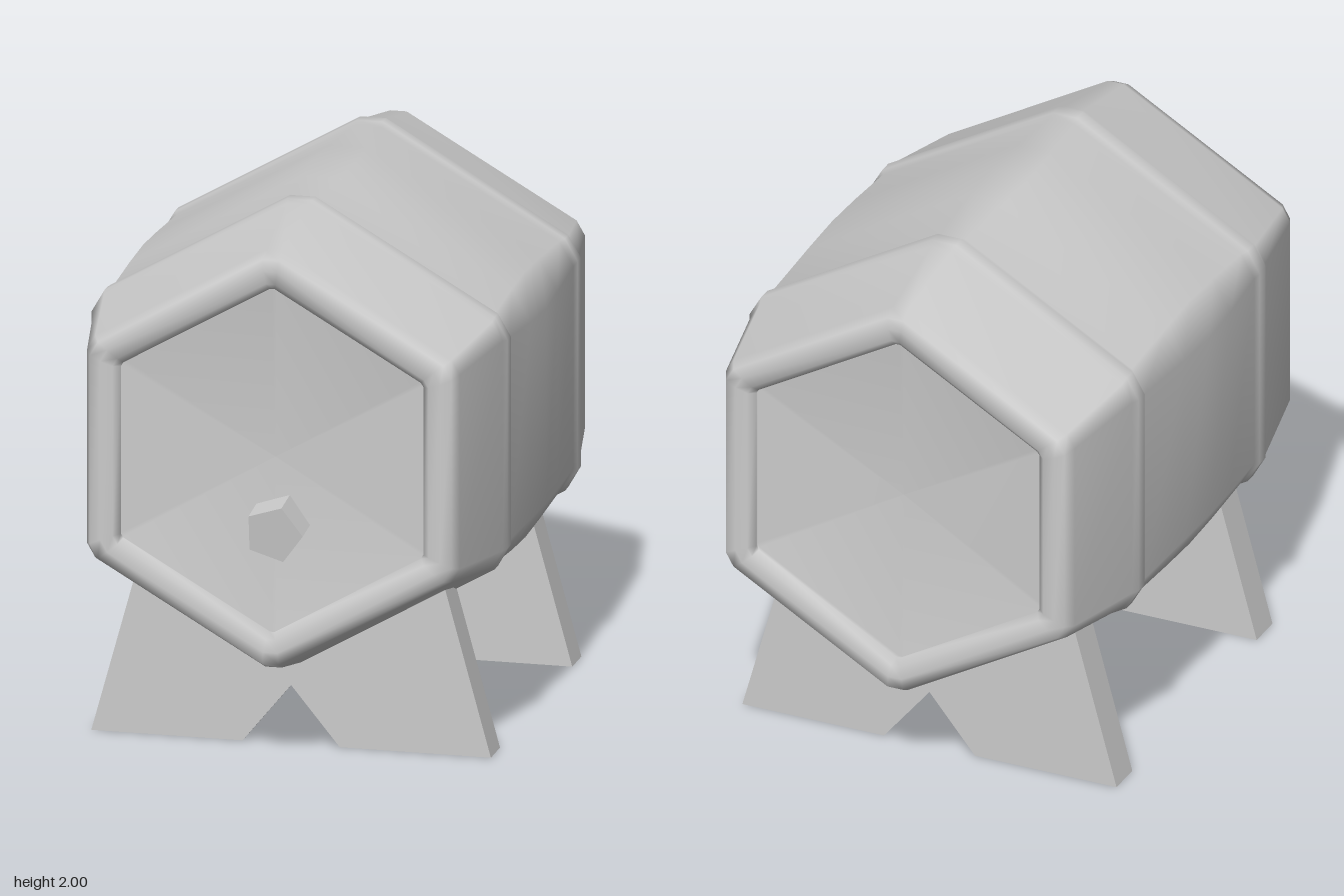
import * as THREE from 'three';

const AXIS_Y = 1.14; // height of the barrel's long axis

// One ring: a hexagon with a flat facing +x and its corners cut back by t.
function hexRing(z, apothem, t) {
  const half = apothem / Math.sqrt(3) - t;
  const points = [];
  for (let i = 0; i < 6; i++) {
    const c = Math.cos((i * Math.PI) / 3), s = Math.sin((i * Math.PI) / 3);
    for (const w of [-half, half]) points.push(apothem * c - w * s, apothem * s + w * c, z);
  }
  return points;
}

// Skin a list of rings running from front to back.
function skin(rings) {
  const n = 12, index = [];
  for (let r = 0; r < rings.length - 1; r++) {
    for (let j = 0; j < n; j++) {
      const k = (j + 1) % n;
      const a = r * n + j, b = a + n, d = r * n + k, c = d + n;
      if (r < rings.length - 2) index.push(a, b, c);
      if (r > 0) index.push(a, c, d);
    }
  }
  const geometry = new THREE.BufferGeometry();
  const positions = rings.flatMap((ring) => hexRing(...ring));
  geometry.setAttribute('position', new THREE.Float32BufferAttribute(positions, 3));
  geometry.setIndex(index);
  geometry.computeVertexNormals();
  return geometry;
}

export function createModel() {
  const group = new THREE.Group();
  const smooth = new THREE.MeshStandardMaterial({ color: 0xcccccc });
  const flat = new THREE.MeshStandardMaterial({ color: 0xcccccc, flatShading: true });

  const add = (name, geometry, material) => {
    const mesh = new THREE.Mesh(geometry, material);
    mesh.name = name;
    group.add(mesh);
    return mesh;
  };

  // Barrel: dished lids, rounded rims, raised hoops and a bulging middle
  // (each ring: z, apothem, corner cut)
  const barrel = add('barrel', skin([
    [0.87, 0, 0],
    [0.89, 0.57, 0.01],
    [0.92, 0.56, 0.01],
    [0.945, 0.585, 0.02],
    [0.95, 0.63, 0.03],
    [0.945, 0.67, 0.035],
    [0.9, 0.69, 0.035],
    [0.54, 0.758, 0.045],
    [0.515, 0.77, 0.055],
    [0.465, 0.77, 0.055],
    [0.44, 0.76, 0.06],
    [0.2, 0.777, 0.08],
    [0, 0.785, 0.09],
    [-0.2, 0.777, 0.08],
    [-0.5, 0.76, 0.06],
    [-0.525, 0.77, 0.055],
    [-0.575, 0.77, 0.055],
    [-0.6, 0.755, 0.045],
    [-0.95, 0.69, 0.035],
    [-0.995, 0.67, 0.035],
    [-1, 0.63, 0.03],
    [-0.995, 0.585, 0.02],
    [-0.97, 0.56, 0.01],
    [-0.94, 0.57, 0.01],
    [-0.92, 0, 0],
  ]), smooth);
  barrel.position.y = AXIS_Y;

  // Stands: notched plates cradling the lower sides of the barrel
  const outline = new THREE.Shape([
    [-0.74, 0], [-0.18, 0], [0, 0.22], [0.18, 0], [0.74, 0], [0.57, 0.62], [0, 0.31], [-0.57, 0.62],
  ].map(([x, y]) => new THREE.Vector2(x, y)));
  const plate = new THREE.ExtrudeGeometry(outline, { depth: 0.135, bevelEnabled: false });
  add('frontStand', plate, flat).position.z = 0.505;
  add('backStand', plate, flat).position.z = -0.7;

  // Plug: five-sided peg tilted slightly downward, one corner toward +x
  const peg = new THREE.CylinderGeometry(0.11, 0.11, 0.16, 5);
  peg.rotateY(Math.PI / 2).rotateX(Math.PI / 2).rotateX(0.12);
  add('plug', peg, flat).position.set(0.02, 0.892, 0.908);

  return group;
}
